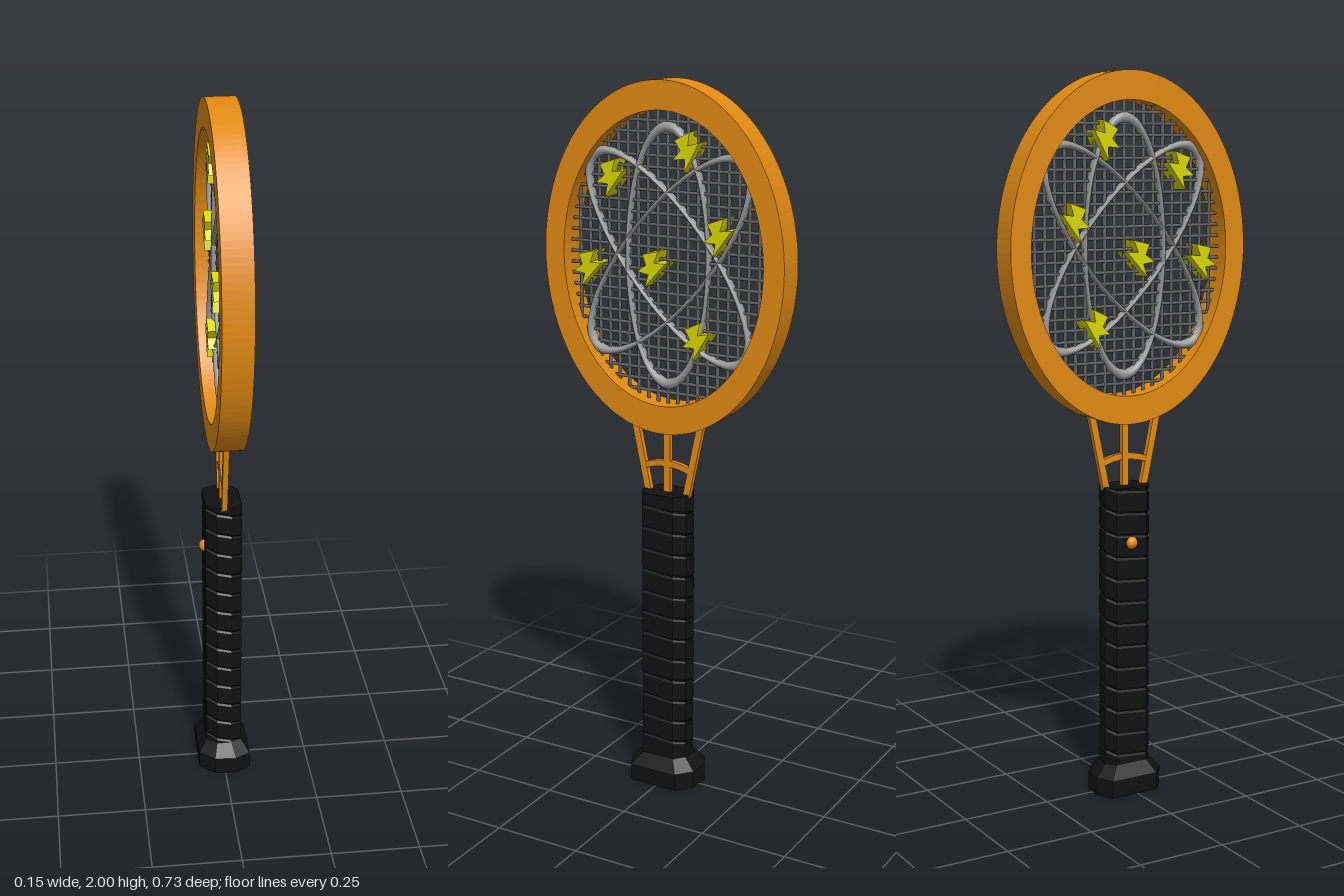
import * as THREE from 'three';

const orange = new THREE.MeshStandardMaterial({ color: 0xe08a12 });
const black = new THREE.MeshStandardMaterial({ color: 0x111111, flatShading: true, side: THREE.DoubleSide });
const steel = new THREE.MeshStandardMaterial({ color: 0x666666 });
const silver = new THREE.MeshStandardMaterial({ color: 0x9a9a9a });
const yellow = new THREE.MeshStandardMaterial({ color: 0xd8d800 });

const HEAD_Y = 1.525, OUT = [0.365, 0.475], INN = [0.305, 0.397];

function add(parent, name, geometry, material) {
  const mesh = new THREE.Mesh(geometry, material);
  mesh.name = name;
  parent.add(mesh);
  return mesh;
}

// Octagonal section of the grip (x, z), slightly skewed
const half = [[0.074, -0.063], [0.074, 0.08], [0.03, 0.104], [-0.03, 0.1]];
const section = [...half, ...half.map(([x, z]) => [-x, -z])];

// Lofts rows of the section; each row is { y(j), s } with s the scale
function loft(rows) {
  const n = section.length, pos = [], idx = [];
  for (const row of rows) {
    for (let j = 0; j <= n; j++) {
      const [x, z] = section[j % n];
      pos.push(x * row.s, row.y(j), z * row.s);
    }
  }
  for (let i = 0; i < rows.length - 1; i++) {
    for (let j = 0; j < n; j++) {
      const a = i * (n + 1) + j, b = a + n + 1;
      idx.push(a, b, a + 1, a + 1, b, b + 1);
    }
  }
  const g = new THREE.BufferGeometry();
  g.setAttribute('position', new THREE.Float32BufferAttribute(pos, 3));
  g.setIndex(idx);
  g.computeVertexNormals();
  return g;
}

function buildHandle(group) {
  // Flared, closed butt
  const flat = (y, s) => ({ y: () => y, s });
  add(group, 'handleButt', loft([flat(0, 0), flat(0, 1), flat(0.05, 1), flat(0.085, 0.68)]), black);

  // Grip tape wound as a helix with narrow grooves
  const pitch = 0.063, bottom = 0.075, top = 0.875, rows = [];
  for (let k = -1; bottom + k * pitch < top; k++) {
    for (const [f, s] of [[0, 0.64], [0.1, 0.685], [0.9, 0.685]]) {
      rows.push({ s, y: (j) => THREE.MathUtils.clamp(bottom + pitch * (k + f + j / 8), bottom, top) });
    }
  }
  rows.push(flat(top, 0.68), flat(top, 0));
  add(group, 'grip', loft(rows), black);

  const button = add(group, 'button', new THREE.SphereGeometry(0.018, 20, 12), orange);
  button.position.set(-0.047, 0.72, -0.005);
}

function bar(parent, name, a, b, width, depth) {
  const length = Math.hypot(b[0] - a[0], b[1] - a[1]);
  const mesh = add(parent, name, new THREE.BoxGeometry(width, length, depth), orange);
  mesh.position.set((a[0] + b[0]) / 2, (a[1] + b[1]) / 2, 0);
  mesh.rotation.z = -Math.atan2(b[0] - a[0], b[1] - a[1]);
}

// Throat: three struts and an arched brace
function buildThroat(head) {
  for (const s of [-1, 0, 1]) bar(head, 'strut', [s * 0.058, 0.86], [s * 0.105, 1.08], 0.02, 0.016);
  const brace = new THREE.Shape();
  brace.moveTo(-0.072, 0.932);
  brace.quadraticCurveTo(0, 0.962, 0.072, 0.932);
  brace.lineTo(0.074, 0.95);
  brace.quadraticCurveTo(0, 0.98, -0.074, 0.95);
  const g = new THREE.ExtrudeGeometry(brace, { depth: 0.014, bevelEnabled: false, curveSegments: 10 });
  add(head, 'brace', g.translate(0, 0, -0.007), orange);
}

function buildFrame(head) {
  const ring = new THREE.Shape().absellipse(0, HEAD_Y, ...OUT, 0, Math.PI * 2);
  ring.holes.push(new THREE.Path().absellipse(0, HEAD_Y, ...INN, 0, Math.PI * 2, true));
  const g = new THREE.ExtrudeGeometry(ring, { depth: 0.082, bevelEnabled: false, curveSegments: 72 });
  add(head, 'frame', g.translate(0, 0, -0.041), orange);
}

// Crossed wires that end inside the frame
function buildNet(head) {
  const net = new THREE.Group();
  net.name = 'net';
  head.add(net);
  const step = 0.0305, [a, b] = [INN[0] + 0.015, INN[1] + 0.015];
  const wire = (name, length) => add(net, name, new THREE.CylinderGeometry(0.005, 0.005, length, 6), steel);
  for (let i = -9; i <= 9; i++) {
    const u = i * step;
    wire('verticalWire', 2 * b * Math.sqrt(1 - (u / a) ** 2)).position.set(u, HEAD_Y, 0);
  }
  for (let i = -12; i <= 12; i++) {
    const v = i * step;
    const w = wire('crossWire', 2 * a * Math.sqrt(1 - (v / b) ** 2));
    w.position.set(0, HEAD_Y + v, 0);
    w.rotation.z = Math.PI / 2;
  }
}

// Three squeezed rings crossing each other, with bolts scattered between
function buildDecoration(head) {
  for (const angle of [-0.71, 0, 0.71]) {
    const orbit = add(head, 'orbitRing', new THREE.TorusGeometry(0.347, 0.015, 12, 64), silver);
    orbit.scale.x = 0.355;
    orbit.rotation.z = angle;
    orbit.position.y = HEAD_Y + 0.005;
  }
  const bolt = new THREE.Shape([
    [-0.03, 0.035], [0.018, 0.052], [0.008, 0.018], [0.042, 0.022],
    [-0.014, -0.052], [-0.006, -0.016], [-0.042, -0.014], [-0.016, 0.008],
  ].map(([x, y]) => new THREE.Vector2(x, y)));
  const g = new THREE.ExtrudeGeometry(bolt, { depth: 0.06, bevelEnabled: false }).translate(0, 0, -0.03);
  const spots = [[0.07, 1.815, 0.15], [-0.164, 1.735, 0], [0.164, 1.6, 0],
    [-0.238, 1.485, -0.1], [-0.037, 1.5, -0.1], [0.1, 1.315, 0.1]];
  for (const [u, v, turn] of spots) {
    const mesh = add(head, 'bolt', g, yellow);
    mesh.position.set(u, v, 0);
    mesh.rotation.z = turn;
  }
}

export function createModel() {
  const model = new THREE.Group();
  model.name = 'racket';
  buildHandle(model);

  // The head is drawn flat, then turned to face sideways
  const head = new THREE.Group();
  head.name = 'head';
  head.rotation.y = Math.PI / 2;
  model.add(head);
  buildFrame(head);
  buildThroat(head);
  buildNet(head);
  buildDecoration(head);
  return model;
}
